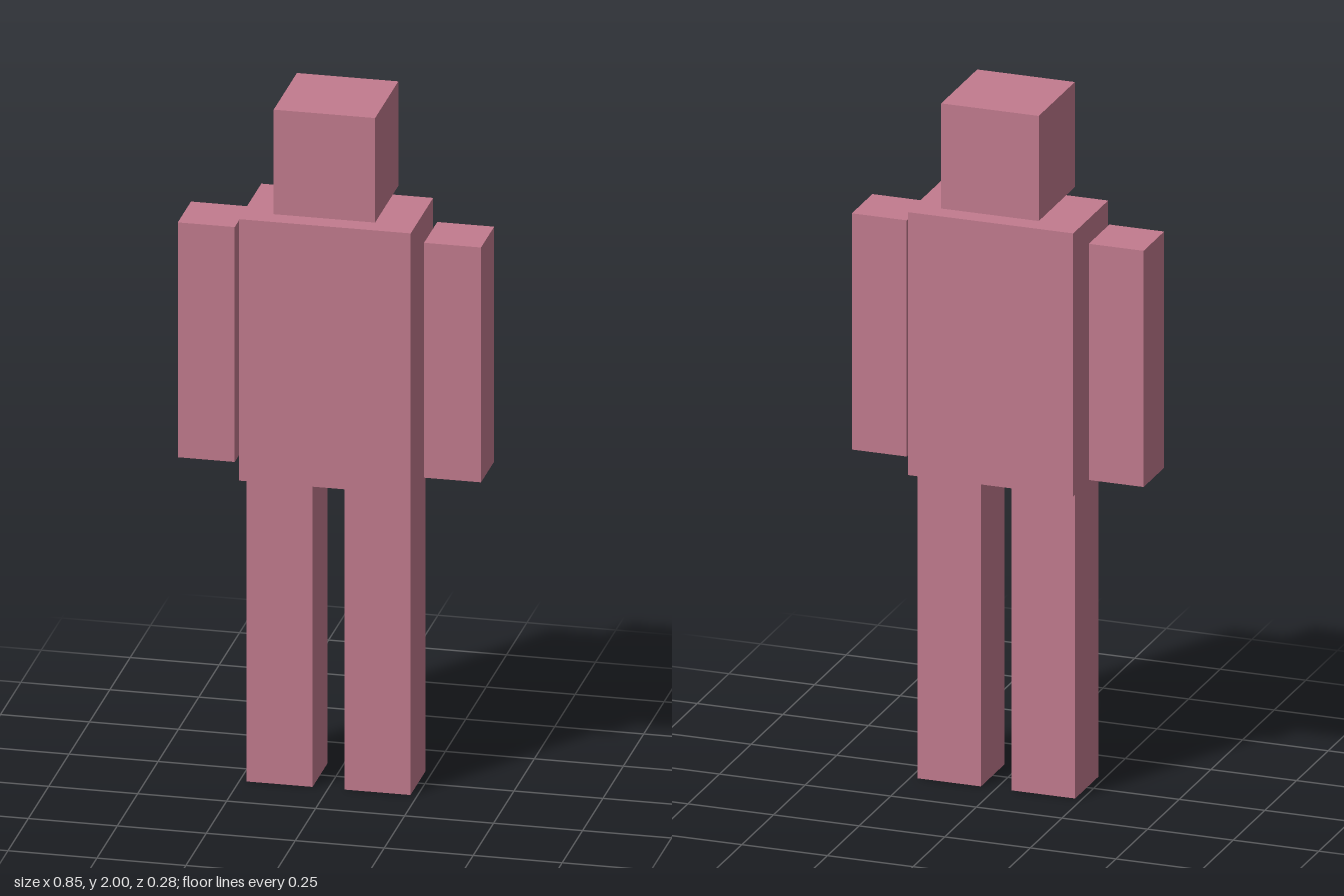
import * as THREE from 'three';

export function createModel() {
  const group = new THREE.Group();
  const rose = new THREE.MeshStandardMaterial({ color: 0xc27b8e });
  rose.name = 'dusty rose';

  // Upright block standing between two heights, centred on z = 0
  function block(name, width, depth, bottom, top, x = 0) {
    const mesh = new THREE.Mesh(new THREE.BoxGeometry(width, top - bottom, depth), rose);
    mesh.name = name;
    mesh.position.set(x, (bottom + top) / 2, 0);
    group.add(mesh);
  }

  block('head', 0.285, 0.285, 1.693, 2);
  block('torso', 0.483, 0.276, 0.9, 1.668);

  // Mirrored limbs
  for (const [side, s] of [['left', 1], ['right', -1]]) {
    block(side + 'Arm', 0.16, 0.162, 0.931, 1.621, s * 0.346);
    block(side + 'Leg', 0.186, 0.186, 0, 0.9, s * 0.1375);
  }

  return group;
}
